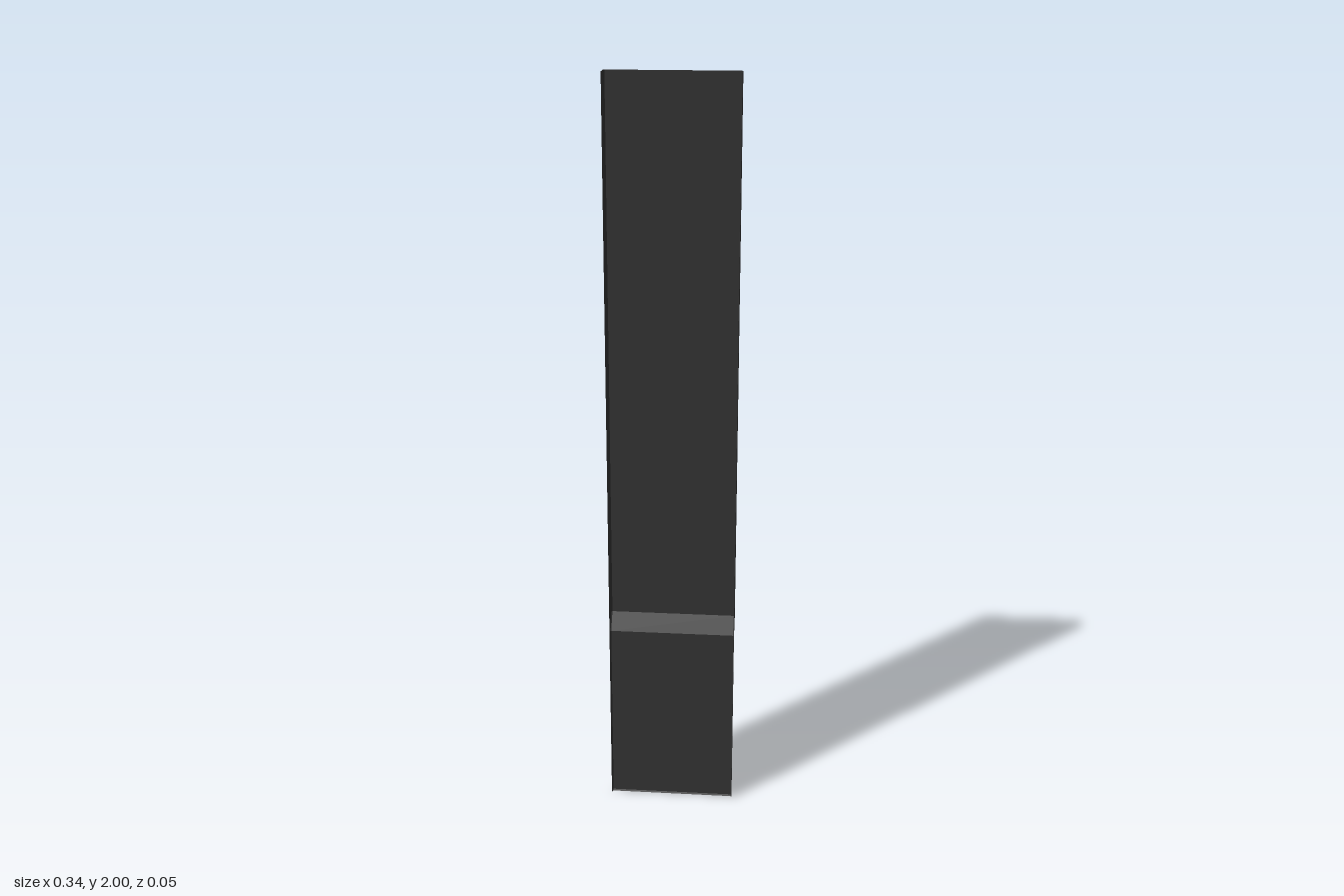
import * as THREE from 'three';

const HALF = 0.17;    // half width of the channel
const FRONT = 0.023;  // front edge of the side flanges
const BEVEL = 0.003;  // small bend between web and flange

// Open channel cross-section: flange, bend, web, bend, flange
function section(y, back) {
  const half = [[HALF, FRONT], [HALF, back + BEVEL], [HALF - BEVEL, back]];
  const other = half.map(([x, z]) => [-x, z]).reverse();
  return [...half, ...other].map(([x, z]) => [x, y, z]);
}

// Skin a list of equal-length sections with quads
function loft(sections) {
  const n = sections[0].length;
  const index = [];
  for (let i = 0; i < sections.length - 1; i++) {
    for (let j = 0; j < n - 1; j++) {
      const a = i * n + j, b = a + 1, c = a + n, d = c + 1;
      index.push(a, b, c, b, d, c);
    }
  }
  const geometry = new THREE.BufferGeometry();
  geometry.setAttribute('position', new THREE.Float32BufferAttribute(sections.flat(2), 3));
  geometry.setIndex(index);
  const flat = geometry.toNonIndexed();
  flat.computeVertexNormals();
  return flat;
}

export function createModel() {
  const group = new THREE.Group();
  group.name = 'channelPanel';
  const material = new THREE.MeshStandardMaterial({
    color: 0x333333, side: THREE.DoubleSide, flatShading: true,
  });

  // Each part spans two heights: [y, z of the web]
  const parts = {
    bottomLip: [[0, 0.011], [0.004, 0.008]],
    shallowChannel: [[0.004, 0.008], [0.505, 0.008]],
    slopedStep: [[0.505, 0.008], [0.55, -0.023]],
    deepChannel: [[0.55, -0.023], [2, -0.023]],
  };
  for (const [name, stations] of Object.entries(parts)) {
    const mesh = new THREE.Mesh(loft(stations.map(([y, z]) => section(y, z))), material);
    mesh.name = name;
    group.add(mesh);
  }
  return group;
}
